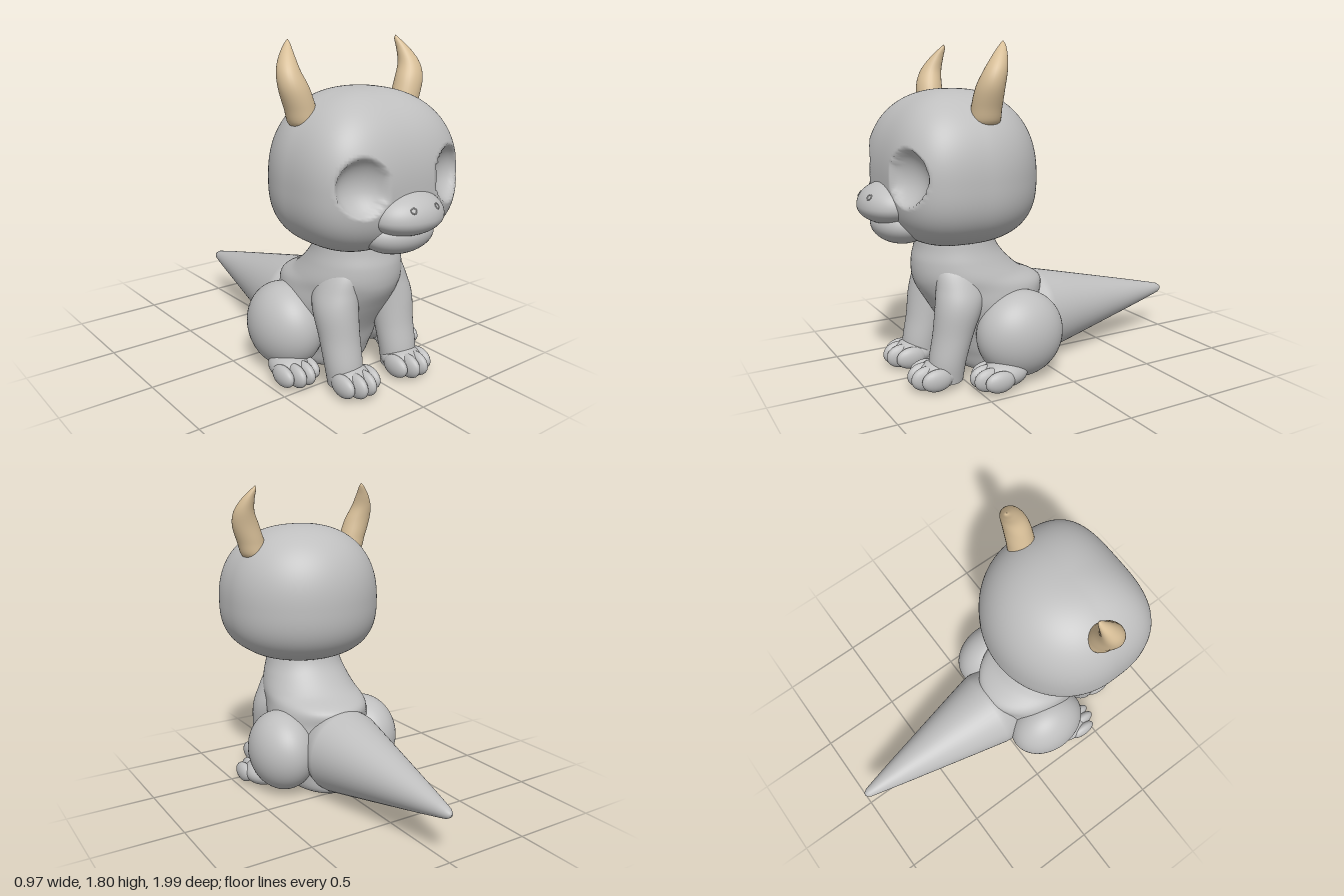
import * as THREE from 'three';

const V = (x, y, z) => new THREE.Vector3(x, y, z);

// Smooth solid through elliptical rings [x, y, z, radiusX, radiusZ], listed bottom to top
function loft(rings, sides = 40, perRing = 6) {
  const centres = new THREE.CatmullRomCurve3(rings.map(r => V(r[0], r[1], r[2])), false, 'catmullrom', 0.5);
  const radii = new THREE.CatmullRomCurve3(rings.map(r => V(r[3], r[4], 0)), false, 'catmullrom', 0.5);
  const rows = (rings.length - 1) * perRing;
  const pos = [], index = [];
  for (let i = 0; i <= rows; i++) {
    const c = centres.getPoint(i / rows), r = radii.getPoint(i / rows);
    for (let j = 0; j < sides; j++) {
      const a = (j / sides) * Math.PI * 2;
      pos.push(c.x + Math.max(r.x, 0.001) * Math.cos(a), c.y, c.z + Math.max(r.y, 0.001) * Math.sin(a));
      if (i < rows) {
        const p = i * sides + j, q = i * sides + (j + 1) % sides;
        index.push(p, p + sides, q, q, p + sides, q + sides);
      }
    }
  }
  const g = new THREE.BufferGeometry();
  g.setAttribute('position', new THREE.Float32BufferAttribute(pos, 3));
  g.setIndex(index);
  g.computeVertexNormals();
  return g;
}

// Sphere whose points are moved by a rule
function shapedSphere(w, h, rule) {
  const g = new THREE.SphereGeometry(1, w, h);
  const p = g.attributes.position, v = V(0, 0, 0);
  for (let i = 0; i < p.count; i++) {
    rule(v.fromBufferAttribute(p, i));
    p.setXYZ(i, v.x, v.y, v.z);
  }
  g.computeVertexNormals();
  // Keep the seam smooth
  const n = g.attributes.normal;
  for (let r = 0; r <= h; r++) {
    const a = r * (w + 1), b = a + w;
    const s = V(n.getX(a) + n.getX(b), n.getY(a) + n.getY(b), n.getZ(a) + n.getZ(b)).normalize();
    n.setXYZ(a, s.x, s.y, s.z);
    n.setXYZ(b, s.x, s.y, s.z);
  }
  return g;
}

// Rounded head: full at the back, flatter face, two hollow eye sockets
function headRule(v) {
  const a = v.z > 0 ? 3.2 : 2, b = v.y > 0 ? 2.3 : 2.7;
  const flat = Math.pow(Math.abs(v.x) ** a + Math.abs(v.z) ** a, b / a);
  v.multiplyScalar(Math.pow(flat + Math.abs(v.y) ** b, -1 / b));
  const front = v.z > 0;
  v.set(v.x * 0.475, 1.1 + v.y * (v.y > 0 ? 0.46 : 0.36), 0.47 + v.z * (front ? 0.41 : 0.45));
  const q = ((Math.abs(v.x) - 0.278) / 0.125) ** 2 + ((v.y - 1.135) / 0.142) ** 2;
  if (front && q < 1) v.z -= 0.1 * Math.pow(1 - q, 0.75);
}

export function createModel() {
  const model = new THREE.Group();
  const skin = new THREE.MeshStandardMaterial({ color: 0xbfbfbf });
  skin.name = 'grey skin';
  const horn = new THREE.MeshStandardMaterial({ color: 0xd8bf98 });
  horn.name = 'tan horn';

  const add = (name, geometry, material = skin) => {
    const m = new THREE.Mesh(geometry, material);
    m.name = name;
    model.add(m);
    return m;
  };
  const ball = (name, x, y, z, rx, ry, rz, seg = 32) => {
    const m = add(name, new THREE.SphereGeometry(1, seg, seg * 0.75));
    m.position.set(x, y, z);
    m.scale.set(rx, ry, rz);
    return m;
  };

  // Head, muzzle with a smiling lower edge, and chin
  add('head', shapedSphere(160, 112, headRule));
  add('muzzle', shapedSphere(64, 48, v =>
    v.set(v.x * 0.21, 0.965 + v.y * (v.y > 0 ? 0.13 : 0.095), 0.83 + v.z * 0.16)));
  ball('chin', 0, 0.868, 0.77, 0.21, 0.108, 0.15, 48);

  // Torso
  add('body', loft([
    [0, 0.005, 0.18, 0.001, 0.001],
    [0, 0.006, 0.18, 0.2, 0.23],
    [0, 0.12, 0.2, 0.26, 0.28],
    [0, 0.25, 0.23, 0.285, 0.3],
    [0, 0.4, 0.29, 0.3, 0.33],
    [0, 0.5, 0.32, 0.292, 0.36],
    [0, 0.57, 0.395, 0.28, 0.305],
    [0, 0.65, 0.44, 0.257, 0.26],
    [0, 0.73, 0.46, 0.235, 0.222],
    [0, 0.84, 0.47, 0.22, 0.2],
  ], 56, 8));

  // Tapered tail with a rounded tip
  const tailProfile = [[0.001, -0.3], [0.2, -0.25], [0.25, 0.02], [0.247, 0.06], [0.205, 0.24],
    [0.139, 0.52], [0.08, 0.77], [0.043, 0.92], [0.03, 0.97], [0.016, 0.993], [0, 1]];
  const tail = add('tail', new THREE.LatheGeometry(tailProfile.map(p => new THREE.Vector2(...p)), 48));
  tail.rotation.x = -Math.PI / 2;
  tail.position.y = 0.255;

  for (const s of [1, -1]) {
    const side = s > 0 ? 'left' : 'right';

    // Horn: leans out, then curls up, in and back
    add(side + 'Horn', loft([
      [s * 0.325, 1.385, 0.435, 0.001, 0.001],
      [s * 0.327, 1.39, 0.435, 0.072, 0.072],
      [s * 0.35, 1.47, 0.435, 0.08, 0.077],
      [s * 0.383, 1.57, 0.43, 0.079, 0.072],
      [s * 0.4, 1.65, 0.41, 0.06, 0.06],
      [s * 0.388, 1.72, 0.38, 0.038, 0.04],
      [s * 0.365, 1.775, 0.352, 0.015, 0.017],
      [s * 0.357, 1.796, 0.345, 0.001, 0.001],
    ], 28), horn);

    // Raised nostril ring
    const nostril = add(side + 'Nostril', new THREE.TorusGeometry(0.014, 0.0035, 8, 24));
    nostril.position.set(s * 0.077, 1.025, 0.959);
    nostril.lookAt(s * (0.077 + 1.75), 1.025 + 3.55, 0.959 + 5.04);

    // Front leg
    add(side + 'FrontLeg', loft([
      [s * 0.19, 0.03, 0.61, 0.09, 0.09],
      [s * 0.192, 0.14, 0.6, 0.103, 0.1],
      [s * 0.192, 0.28, 0.565, 0.109, 0.11],
      [s * 0.192, 0.42, 0.53, 0.117, 0.13],
      [s * 0.175, 0.52, 0.51, 0.108, 0.135],
      [s * 0.14, 0.64, 0.5, 0.08, 0.12],
      [s * 0.12, 0.7, 0.49, 0.001, 0.001],
    ]));

    // Hind leg
    ball(side + 'Thigh', s * 0.292, 0.25, 0.215, 0.19, 0.238, 0.248, 48);
    ball(side + 'Shin', s * 0.36, 0.075, 0.35, 0.105, 0.073, 0.13);

    // Paws with four toes each
    ball(side + 'FrontPaw', s * 0.185, 0.075, 0.65, 0.108, 0.072, 0.12);
    for (let i = 0; i < 4; i++) {
      const k = i - 1.5, back = 0.018 * k * k;
      ball(side + 'FrontToe', s * (0.184 + k * 0.058), 0.068, 0.735 - back, 0.037, 0.066 - back * 0.15, 0.085, 20);
      ball(side + 'HindToe', s * (0.365 + k * 0.056), 0.066, 0.46 - back, 0.037, 0.063 - back * 0.15, 0.085, 20);
    }
  }
  return model;
}
